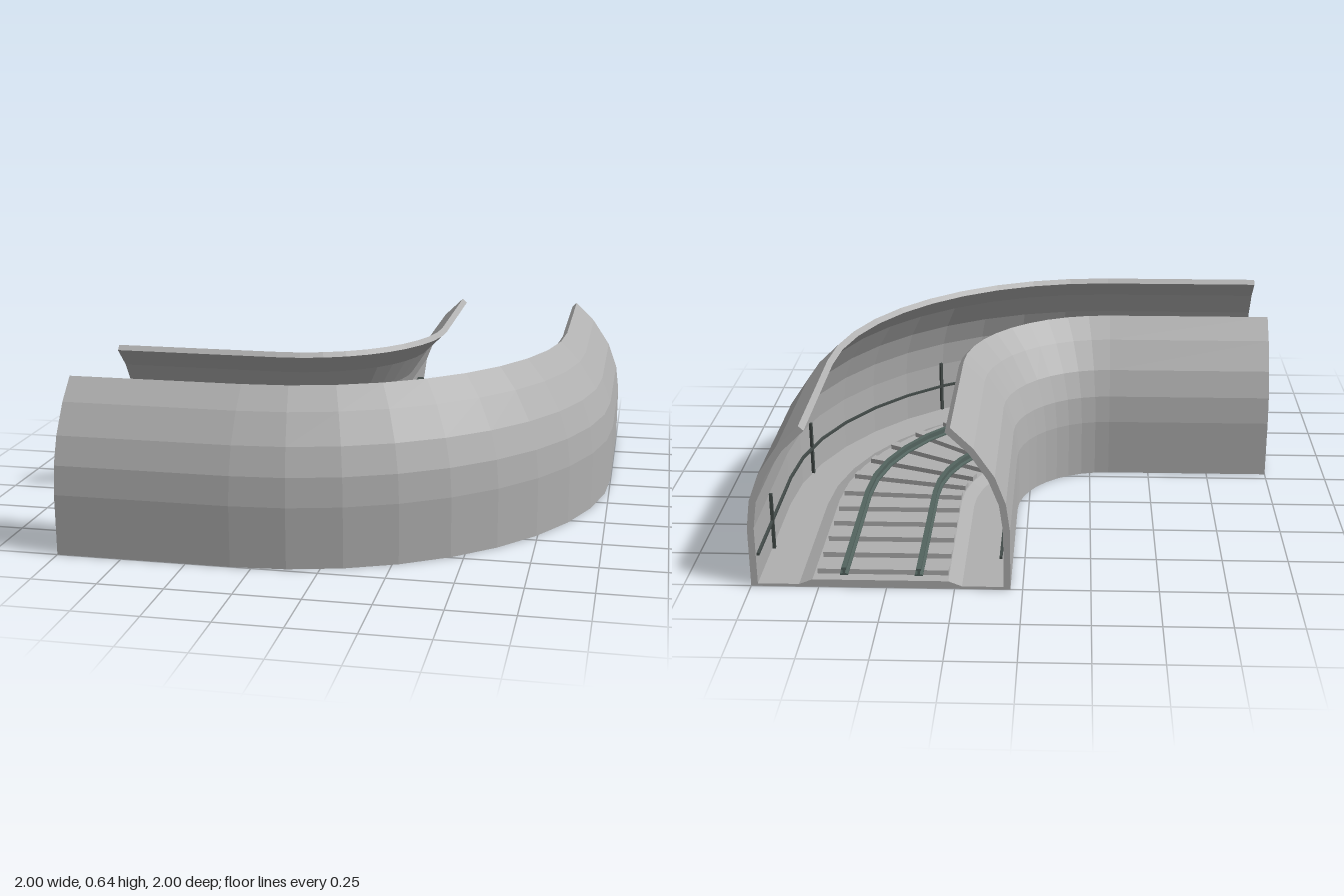
import * as THREE from 'three';

// Track centreline: straight along x, a 90 degree bend, then straight towards -z
const CENTRE = 0.5225, PIVOT = -0.33, STRAIGHT = 0.67;
const RADIUS = CENTRE - PIVOT;
const BEND = RADIUS * Math.PI / 2;
const LENGTH = 2 * STRAIGHT + BEND;

// Heading angle at distance s
const heading = s => Math.min(Math.max((s - STRAIGHT) / RADIUS, 0), Math.PI / 2);

// Point at distance s, offset u towards the outside of the bend
function place(s, u, y) {
  const t = heading(s);
  const before = Math.min(s - STRAIGHT, 0);
  const after = Math.max(s - STRAIGHT - BEND, 0);
  return new THREE.Vector3(
    PIVOT + (RADIUS + u) * Math.sin(t) + before,
    y,
    PIVOT + (RADIUS + u) * Math.cos(t) - after);
}

// Stations: both ends and ten segments round the bend
const STATIONS = [0];
for (let i = 0; i <= 10; i++) STATIONS.push(STRAIGHT + BEND * i / 10);
STATIONS.push(LENGTH);

// Sweep a closed (u, y) section along the centreline, with end caps
function sweep(section) {
  const loop = section.map(([u, y]) => new THREE.Vector2(u, y));
  if (THREE.ShapeUtils.isClockWise(loop)) loop.reverse();
  const points = [];
  const at = (s, p) => place(s, p.x, p.y);
  for (let k = 0; k < STATIONS.length - 1; k++) {
    loop.forEach((p, i) => {
      const q = loop[(i + 1) % loop.length];
      const a = at(STATIONS[k], p), b = at(STATIONS[k], q);
      const c = at(STATIONS[k + 1], q), d = at(STATIONS[k + 1], p);
      points.push(a, d, c, a, c, b);
    });
  }
  for (const [i, j, k] of THREE.ShapeUtils.triangulateShape(loop, [])) {
    points.push(at(0, loop[i]), at(0, loop[j]), at(0, loop[k]));
    points.push(at(LENGTH, loop[i]), at(LENGTH, loop[k]), at(LENGTH, loop[j]));
  }
  const geometry = new THREE.BufferGeometry().setFromPoints(points);
  geometry.computeVertexNormals();
  return geometry;
}

const rect = (u, y, w, h) => [
  [u - w / 2, y], [u + w / 2, y], [u + w / 2, y + h], [u - w / 2, y + h]];

export function createModel() {
  const group = new THREE.Group();
  const material = (name, color) => {
    const m = new THREE.MeshStandardMaterial({ color, flatShading: true });
    m.name = name;
    return m;
  };
  const concrete = material('concrete', 0xb0b0b0);
  const steel = material('railSteel', 0x53645f);
  const fitting = material('darkFitting', 0x434b49);

  const add = (name, geometry, mat) => {
    const mesh = new THREE.Mesh(geometry, mat);
    mesh.name = name;
    group.add(mesh);
    return mesh;
  };
  // Box lying across the track at distance s: along, up, across
  const addBox = (name, s, u, y, size, mat) => {
    const mesh = add(name, new THREE.BoxGeometry(...size), mat);
    mesh.position.copy(place(s, u, y));
    mesh.rotation.y = heading(s);
  };

  // Curved walls, open along the crown
  const outside = [[0.4775, 0], [0.4775, 0.235], [0.463, 0.345], [0.424, 0.45], [0.35, 0.56], [0.268, 0.64]];
  const inside = [[0.249, 0.622], [0.332, 0.542], [0.4, 0.438], [0.438, 0.34], [0.4525, 0.235], [0.4525, 0]];
  const wall = [...outside, ...inside];
  add('outerWall', sweep(wall), concrete);
  add('innerWall', sweep(wall.map(([u, y]) => [-u, y])), concrete);

  // Floor with a raised bed sloping down to the walls
  add('trackBed', sweep([
    [-0.4525, 0], [0.4525, 0], [0.4525, 0.01], [0.3, 0.01], [0.25, 0.03],
    [-0.25, 0.03], [-0.3, 0.01], [-0.4525, 0.01]]), concrete);

  // Sleepers
  for (let i = 0; i < 20; i++) {
    addBox('sleeper', 0.115 + i * 0.1315, -0.005, 0.04, [0.04, 0.02, 0.485], concrete);
  }

  // Rails: wide foot, thin web and head
  for (const u of [-0.1425, 0.1325]) {
    add('rail', sweep([
      [u - 0.015, 0.05], [u + 0.015, 0.05], [u + 0.015, 0.055], [u + 0.004, 0.058],
      [u + 0.004, 0.07], [u + 0.009, 0.072], [u + 0.009, 0.08], [u - 0.009, 0.08],
      [u - 0.009, 0.072], [u - 0.004, 0.07], [u - 0.004, 0.058], [u - 0.015, 0.055]]), steel);
  }

  // Wall cables with upright brackets, and lamps on the inner wall
  for (const side of [-1, 1]) {
    add('wallCable', sweep(rect(side * 0.444, 0.125, 0.01, 0.01)), fitting);
    for (let i = 0; i < 4; i++) {
      const s = 0.62 + i * 0.595;
      addBox('cableBracket', s, side * 0.443, 0.13, [0.012, 0.23, 0.012], fitting);
      if (side < 0) addBox('wallLamp', s, -0.43, 0.285, [0.085, 0.04, 0.03], fitting);
    }
  }
  return group;
}
